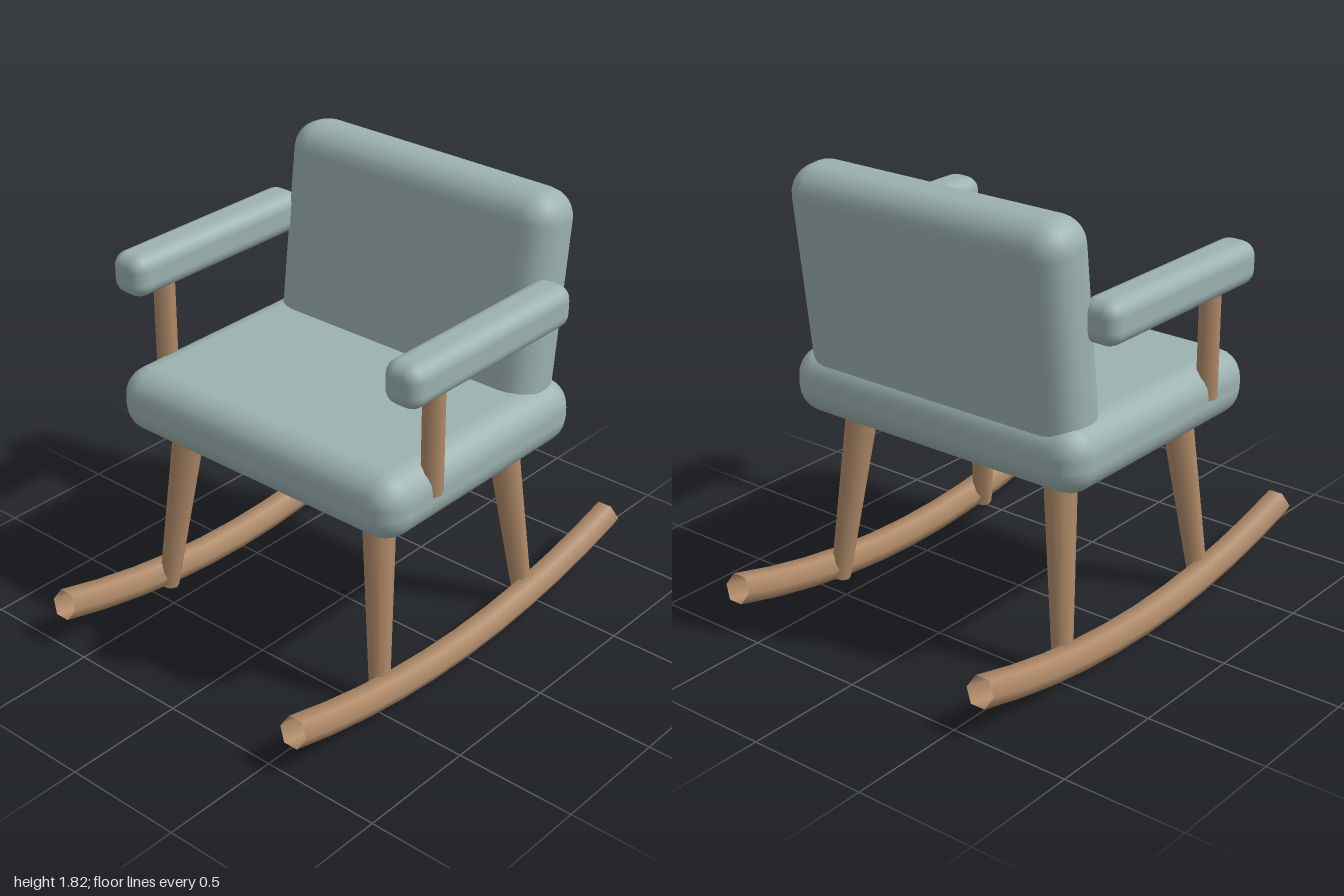
import * as THREE from 'three';
import { RoundedBoxGeometry } from 'three/addons/geometries/RoundedBoxGeometry.js';

export function createModel() {
  const chair = new THREE.Group();
  chair.name = 'rockingChair';
  const fabric = new THREE.MeshStandardMaterial({ color: 0x9cb2b0 });
  fabric.name = 'sage fabric';
  const wood = new THREE.MeshStandardMaterial({ color: 0xb08a68, side: THREE.DoubleSide });
  wood.name = 'light wood';

  const add = (name, geometry, material) => {
    const mesh = new THREE.Mesh(geometry, material);
    mesh.name = name;
    chair.add(mesh);
    return mesh;
  };

  const cushion = (name, size, radius, position) => {
    const mesh = add(name, new RoundedBoxGeometry(...size, 3, radius), fabric);
    mesh.position.set(...position);
    return mesh;
  };

  // Tapered round bar between two points
  const bar = (name, bottom, top, rBottom, rTop) => {
    const a = new THREE.Vector3(...bottom);
    const b = new THREE.Vector3(...top);
    const mesh = add(name, new THREE.CylinderGeometry(rTop, rBottom, a.distanceTo(b), 8), wood);
    mesh.position.copy(a).lerp(b, 0.5);
    mesh.quaternion.setFromUnitVectors(new THREE.Vector3(0, 1, 0), b.sub(a).normalize());
  };

  // Upholstery
  cushion('seat', [1.42, 0.27, 1.14], 0.115, [0, 0.915, 0]);
  cushion('backrest', [1.3, 1.0, 0.265], 0.115, [0, 1.32, -0.448]).rotation.x = -0.12;

  for (const [side, s] of [['left', 1], ['right', -1]]) {
    // Armrest on its post
    cushion(side + 'Armrest', [0.165, 0.175, 0.94], 0.06, [s * 0.68, 1.43, 0.04]);
    bar(side + 'ArmPost', [s * 0.68, 0.92, 0.3], [s * 0.68, 1.4, 0.3], 0.043, 0.043);

    // Splayed legs
    for (const [end, t] of [['Front', 1], ['Back', -1]]) {
      bar(side + end + 'Leg', [s * 0.571, 0.045, t * 0.454], [s * 0.487, 0.85, t * 0.367], 0.04, 0.067);
    }

    // Curved hexagonal rocker, open at its ends
    const x = s * 0.612;
    const path = new THREE.QuadraticBezierCurve3(
      new THREE.Vector3(x, 0.195, 0.986),
      new THREE.Vector3(x, -0.083, 0),
      new THREE.Vector3(x, 0.195, -0.986)
    );
    add(side + 'Rocker', new THREE.TubeGeometry(path, 10, 0.0625, 6), wood);
  }
  return chair;
}
